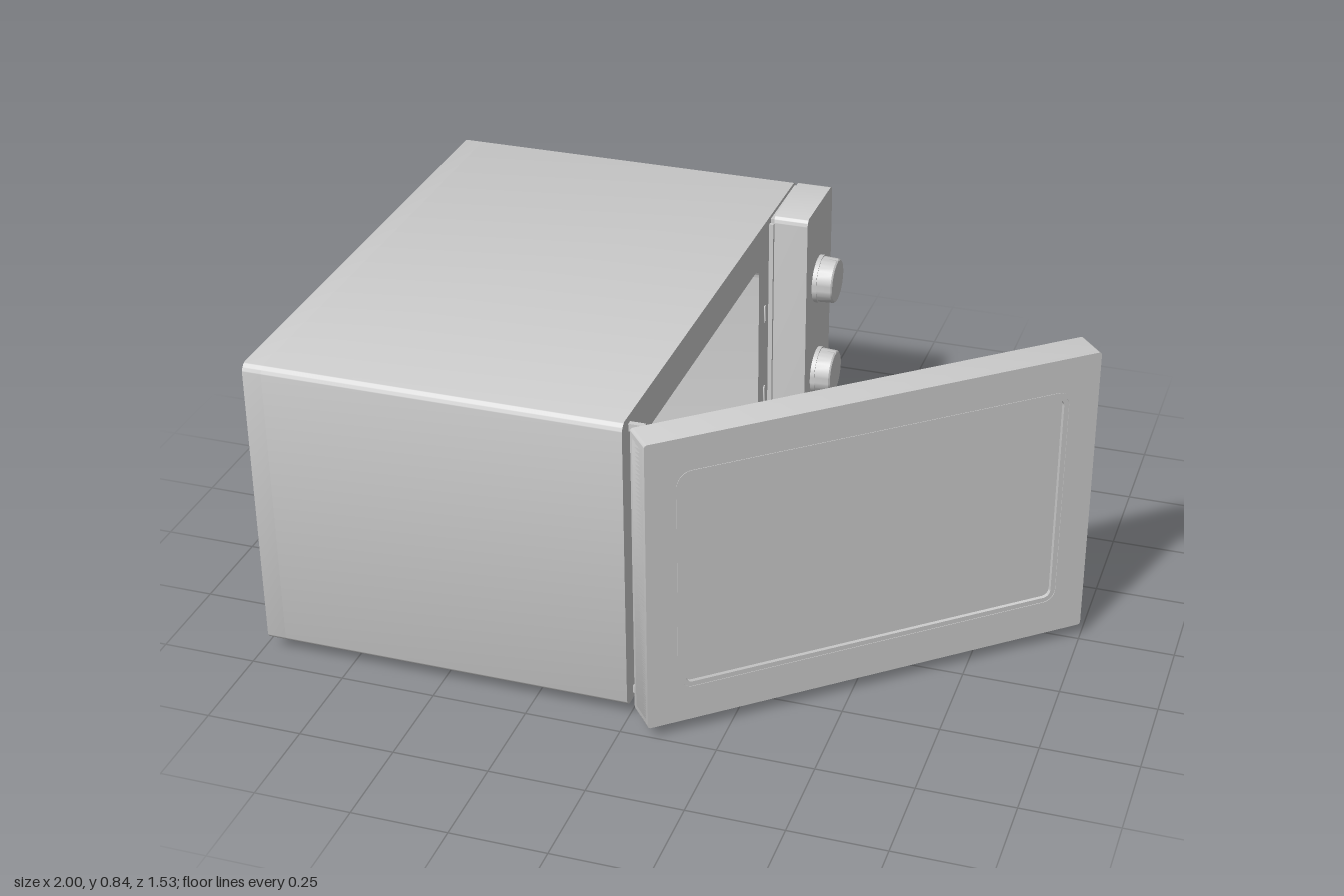
import * as THREE from 'three';
import { toCreasedNormals } from 'three/addons/utils/BufferGeometryUtils.js';

const grey = new THREE.MeshStandardMaterial({ color: 0xcccccc, side: THREE.DoubleSide });

function add(parent, name, geometry, x = 0, y = 0, z = 0) {
  const mesh = new THREE.Mesh(geometry, grey);
  mesh.name = name;
  mesh.position.set(x, y, z);
  parent.add(mesh);
  return mesh;
}

// Rounded rectangle as a shape or a hole
function roundRect(x0, x1, y0, y1, r, Type = THREE.Shape) {
  const p = new Type();
  p.moveTo(x0 + r, y0);
  p.lineTo(x1 - r, y0).absarc(x1 - r, y0 + r, r, -Math.PI / 2, 0);
  p.lineTo(x1, y1 - r).absarc(x1 - r, y1 - r, r, 0, Math.PI / 2);
  p.lineTo(x0 + r, y1).absarc(x0 + r, y1 - r, r, Math.PI / 2, Math.PI);
  p.lineTo(x0, y0 + r).absarc(x0 + r, y0 + r, r, Math.PI, Math.PI * 1.5);
  return p;
}

function extrude(shape, depth, hole) {
  if (hole) shape.holes.push(hole);
  const g = new THREE.ExtrudeGeometry(shape, { depth, bevelEnabled: false, curveSegments: 8 });
  return toCreasedNormals(g, 0.6);
}

// Pressed panel with sloping edges, rising by h from the plane z = 0
function pad(x0, x1, y0, y1, r, h, slope) {
  const g = new THREE.ExtrudeGeometry(roundRect(x0, x1, y0, y1, r), {
    depth: 0.001, bevelThickness: h, bevelSize: slope, bevelOffset: -slope,
    bevelSegments: 3, curveSegments: 6,
  });
  return toCreasedNormals(g, 0.6);
}

// Turn geometry drawn in xy so that it faces the named side
const facing = {
  plusX: g => g.rotateY(Math.PI / 2), // local x becomes -z
  minusX: g => g.rotateY(-Math.PI / 2), // local x becomes z
  minusZ: g => g.rotateY(Math.PI), // local x becomes -x
  minusY: g => g.rotateX(Math.PI / 2), // local y becomes z
};

function buildBody() {
  const body = new THREE.Group();
  body.name = 'body';
  const outline = () => roundRect(-0.695, 0.757, 0.035, 0.84, 0.025);

  // Casing with the oven cavity, closed by a back wall
  add(body, 'casing', facing.plusX(extrude(outline(), 0.93,
    roundRect(-0.61, 0.41, 0.135, 0.73, 0.03, THREE.Path))), -0.93);
  add(body, 'backWall', facing.plusX(extrude(outline(), 0.05)), -0.98);

  // Pressed panels outside and inside
  add(body, 'backPressing', facing.minusX(pad(-0.32, 0.46, 0.2, 0.6, 0.07, 0.019, 0.035)), -0.98);
  add(body, 'sidePressing', facing.minusZ(pad(0.1, 0.88, 0.15, 0.7, 0.07, 0.009, 0.025)), 0, 0, -0.757);
  add(body, 'bottomPressing', facing.minusY(pad(-0.9, -0.07, -0.67, 0.61, 0.06, 0.012, 0.03)), 0, 0.035);
  add(body, 'cavityBackPressing', facing.plusX(pad(-0.54, 0.34, 0.2, 0.67, 0.05, 0.012, 0.02)), -0.93);
  add(body, 'cavitySidePressing', facing.minusZ(pad(0.12, 0.8, 0.22, 0.64, 0.05, 0.01, 0.02)), 0, 0, 0.61);

  // Vent louvres on the back
  for (let i = 0; i < 5; i++) {
    const z = -0.25 + i * 0.175;
    add(body, 'topVent', facing.minusX(pad(z - 0.065, z + 0.065, 0.715, 0.75, 0.012, 0.008, 0.008)), -0.98);
  }
  for (const y of [0.19, 0.39, 0.59]) {
    add(body, 'sideVent', facing.minusX(pad(0.585, 0.62, y - 0.065, y + 0.065, 0.012, 0.008, 0.008)), -0.98);
  }

  // Latch slots beside the opening
  for (const y of [0.315, 0.565]) {
    add(body, 'latchSlot', facing.plusX(extrude(roundRect(0.459, 0.471, y - 0.026, y + 0.026, 0.003), 0.003,
      roundRect(0.462, 0.468, y - 0.023, y + 0.023, 0.002, THREE.Path))));
  }

  // Feet
  for (const x of [-0.775, -0.195]) {
    for (const z of [0.49, -0.53]) {
      add(body, 'foot', new THREE.CylinderGeometry(0.025, 0.023, 0.026, 24), x, 0.013, z);
    }
  }

  // Hinge brackets
  for (const y of [0.06, 0.81]) {
    add(body, 'hingeBracket', new THREE.BoxGeometry(0.04, 0.02, 0.014), 0.02, y, 0.643);
    add(body, 'hingePin', new THREE.BoxGeometry(0.012, 0.02, 0.045), 0.034, y, 0.66);
  }
  return body;
}

function buildTurntable() {
  const turntable = new THREE.Group();
  turntable.name = 'turntable';
  const profile = [[0, 0.155], [0.38, 0.155], [0.44, 0.164], [0.45, 0.166], [0.448, 0.17], [0.38, 0.161], [0, 0.161]]
    .map(([x, y]) => new THREE.Vector2(x, y));
  add(turntable, 'plate', toCreasedNormals(new THREE.LatheGeometry(profile, 64), 0.5));
  add(turntable, 'rollerRing', new THREE.TorusGeometry(0.4, 0.006, 8, 64).rotateX(Math.PI / 2), 0, 0.147);
  add(turntable, 'hub', new THREE.CylinderGeometry(0.04, 0.04, 0.022, 24), 0, 0.145);
  turntable.position.set(-0.47, 0, 0.1);
  return turntable;
}

function buildControls() {
  const controls = new THREE.Group();
  controls.name = 'controlPanel';
  add(controls, 'panelSpacer', new THREE.BoxGeometry(0.012, 0.785, 0.23), 0.005, 0.4375, -0.63);
  add(controls, 'panel', facing.plusX(extrude(roundRect(0.51, 0.757, 0.035, 0.84, 0.02), 0.094)), 0.011);
  add(controls, 'panelTrim', new THREE.BoxGeometry(0.012, 0.77, 0.01), 0.006, 0.435, -0.504);
  for (const y of [0.325, 0.612]) {
    const knob = [[0.067, 0], [0.067, 0.012], [0.064, 0.012], [0.062, 0.052], [0.058, 0.056], [0, 0.056]]
      .map(([r, h]) => new THREE.Vector2(r, h));
    add(controls, 'knob', toCreasedNormals(new THREE.LatheGeometry(knob, 48), 0.5).rotateZ(-Math.PI / 2), 0.105, y, -0.63);
    add(controls, 'knobMarker', new THREE.BoxGeometry(0.025, 0.022, 0.005), 0.149, y + 0.053, -0.63);
  }
  add(controls, 'doorButton', facing.plusX(pad(0.55, 0.71, 0.093, 0.183, 0.008, 0.004, 0.003)), 0.105);
  return controls;
}

// Door drawn along its own x from the hinge, outer face towards its own +z
function buildDoor() {
  const door = new THREE.Group();
  door.name = 'door';
  const L = 1.206, y0 = 0.035, y1 = 0.836;
  const opening = () => roundRect(0.1, 1.11, 0.145, 0.725, 0.02, THREE.Path);
  add(door, 'frame', extrude(roundRect(0, L - 0.006, y0 + 0.012, y1 - 0.012, 0.008), 0.066, opening()), 0, 0, 0.012);
  add(door, 'frontFrame', extrude(roundRect(0, L, y0, y1, 0.008), 0.012, opening()), 0, 0, 0.078);
  add(door, 'rim', extrude(roundRect(0, L, y0, y1, 0.008), 0.078,
    roundRect(0.018, L - 0.006, y0 + 0.012, y1 - 0.012, 0.006, THREE.Path)));
  add(door, 'innerBorder', extrude(roundRect(0.06, 1.15, 0.1, 0.77, 0.04), 0.008,
    roundRect(0.1, 1.11, 0.145, 0.725, 0.02, THREE.Path)), 0, 0, 0.004);
  add(door, 'window', new THREE.BoxGeometry(1.03, 0.6, 0.05), 0.605, 0.435, 0.055);

  // Raised bead round the window
  add(door, 'windowBead', extrude(roundRect(0.08, 1.13, 0.125, 0.745, 0.04), 0.002,
    roundRect(0.087, 1.123, 0.132, 0.738, 0.033, THREE.Path)), 0, 0, 0.0895);

  // Latch hooks
  for (const y of [0.3, 0.55]) {
    add(door, 'latchArm', new THREE.BoxGeometry(0.007, 0.014, 0.09), 1.1, y, -0.02);
    add(door, 'latchHook', new THREE.BoxGeometry(0.007, 0.026, 0.012), 1.1, y - 0.006, -0.06);
  }
  door.position.set(0.02, 0, 0.695);
  door.rotation.y = 0.703;
  return door;
}

export function createModel() {
  const model = new THREE.Group();
  model.name = 'microwaveOven';
  model.add(buildBody(), buildTurntable(), buildControls(), buildDoor());
  return model;
}
